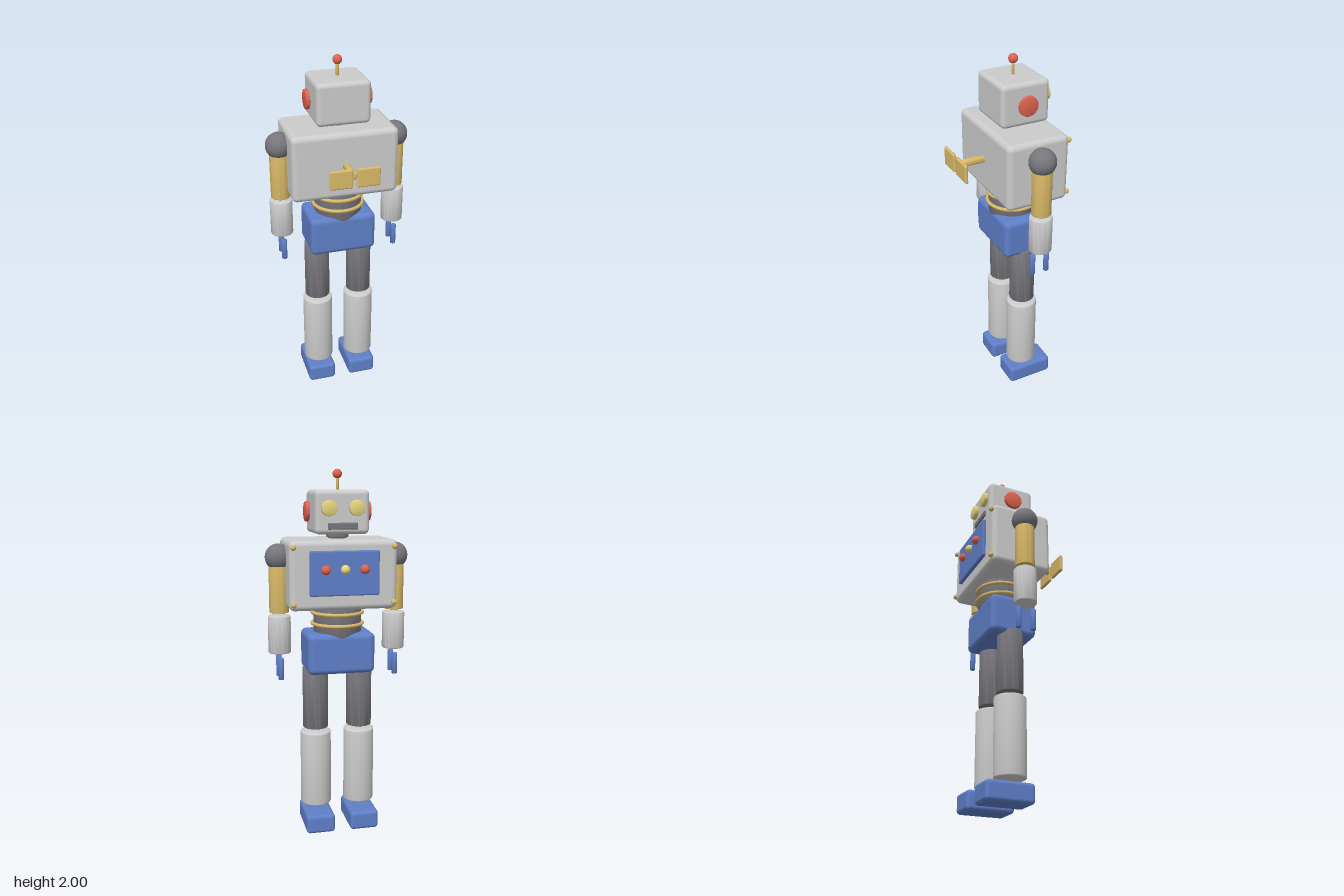
import * as THREE from 'three';
import { RoundedBoxGeometry } from 'three/addons/geometries/RoundedBoxGeometry.js';
import { toCreasedNormals } from 'three/addons/utils/BufferGeometryUtils.js';

const paint = (color) => new THREE.MeshStandardMaterial({ color });
const GREY = paint(0xcccccc), DARK = paint(0x77767c), BLUE = paint(0x5f7fc8);
const GOLD = paint(0xd8b968), RED = paint(0xe0634f), YELLOW = paint(0xe6d67c);
const MID = -0.06; // z of the body's vertical axis

export function createModel() {
  const root = new THREE.Group();
  root.name = 'toyRobot';

  function add(name, geometry, material, x, y, z) {
    const mesh = new THREE.Mesh(geometry, material);
    mesh.name = name;
    mesh.position.set(x, y, z);
    root.add(mesh);
    return mesh;
  }

  // Box with rounded edges, placed by its centre
  const box = (name, mat, w, h, d, r, x, y, z) =>
    add(name, new RoundedBoxGeometry(w, h, d, 4, r), mat, x, y, z);

  const ball = (name, mat, r, x, y, z) =>
    add(name, new THREE.SphereGeometry(r, 32, 20), mat, x, y, z);

  // Upright cylinder with softened rims
  function rod(name, mat, r, h, bevel, x, y, z) {
    const points = [new THREE.Vector2(0, -h / 2)];
    for (const side of [-1, 1]) {
      for (let i = 0; i <= 4; i++) {
        const a = (side < 0 ? i - 4 : i) * Math.PI / 8;
        points.push(new THREE.Vector2(
          r - bevel + bevel * Math.cos(a),
          side * (h / 2 - bevel) + bevel * Math.sin(a)));
      }
    }
    points.push(new THREE.Vector2(0, h / 2));
    const geometry = toCreasedNormals(new THREE.LatheGeometry(points, 40), 0.7);
    return add(name, geometry, mat, x, y, z);
  }

  // Head, neck and antenna
  box('head', GREY, 0.29, 0.228, 0.27, 0.025, 0, 1.779, MID);
  rod('neckCollar', DARK, 0.06, 0.022, 0.004, 0, 1.656, MID);
  rod('neck', DARK, 0.05, 0.08, 0.004, 0, 1.65, MID);
  rod('antennaStem', GOLD, 0.008, 0.09, 0.001, 0, 1.925, MID);
  ball('antennaTip', RED, 0.025, 0, 1.975, MID);
  box('mouth', DARK, 0.16, 0.035, 0.02, 0.006, 0, 1.708, -0.195);

  // Torso, control panel and buttons
  box('torso', GREY, 0.58, 0.367, 0.35, 0.03, 0, 1.455, -0.061);
  box('chestPanel', BLUE, 0.372, 0.235, 0.03, 0.008, 0, 1.468, -0.24);
  for (const i of [-1, 0, 1]) {
    ball('chestButton', i ? RED : YELLOW, 0.025, i * 0.104, 1.488, -0.26);
  }

  // Ribbed waist and pelvis
  rod('waist', DARK, 0.132, 0.22, 0.004, 0, 1.205, MID);
  for (const y of [1.237, 1.176]) {
    const ring = add('waistRing', new THREE.TorusGeometry(0.138, 0.01, 12, 48), GOLD, 0, y, MID);
    ring.rotation.x = Math.PI / 2;
  }
  box('pelvis', BLUE, 0.37, 0.223, 0.265, 0.03, 0, 1.022, MID);

  // Wind-up key
  rod('keyShaft', GOLD, 0.02, 0.16, 0.002, 0, 1.457, 0.17).rotation.x = Math.PI / 2;

  // Mirrored parts
  for (const s of [-1, 1]) {
    rod('eye', YELLOW, 0.041, 0.03, 0.004, s * 0.074, 1.8, -0.203).rotation.x = Math.PI / 2;
    rod('ear', RED, 0.053, 0.02, 0.004, s * 0.167, 1.78, MID).rotation.z = Math.PI / 2;
    for (const y of [1.604, 1.308]) ball('bolt', GOLD, 0.015, s * 0.27, y, -0.239);
    box('keyWing', GOLD, 0.123, 0.104, 0.019, 0.009, s * 0.073, 1.457, 0.27);

    // Arm with two-fingered claw
    const armX = s * 0.322;
    ball('shoulder', DARK, 0.072, armX, 1.542, MID);
    rod('upperArm', GOLD, 0.053, 0.265, 0.004, armX, 1.377, MID);
    rod('forearm', GREY, 0.062, 0.207, 0.008, armX, 1.125, MID);
    for (const z of [-0.016, -0.1]) {
      rod('clawFinger', BLUE, 0.015, 0.122, 0.005, armX, 0.938, z);
    }

    // Leg
    const legX = s * 0.125;
    rod('thigh', DARK, 0.071, 0.348, 0.004, legX, 0.759, MID);
    rod('shin', GREY, 0.086, 0.433, 0.01, legX, 0.347, MID);
    box('foot', BLUE, 0.162, 0.106, 0.267, 0.02, legX, 0.053, -0.088);
  }
  return root;
}
